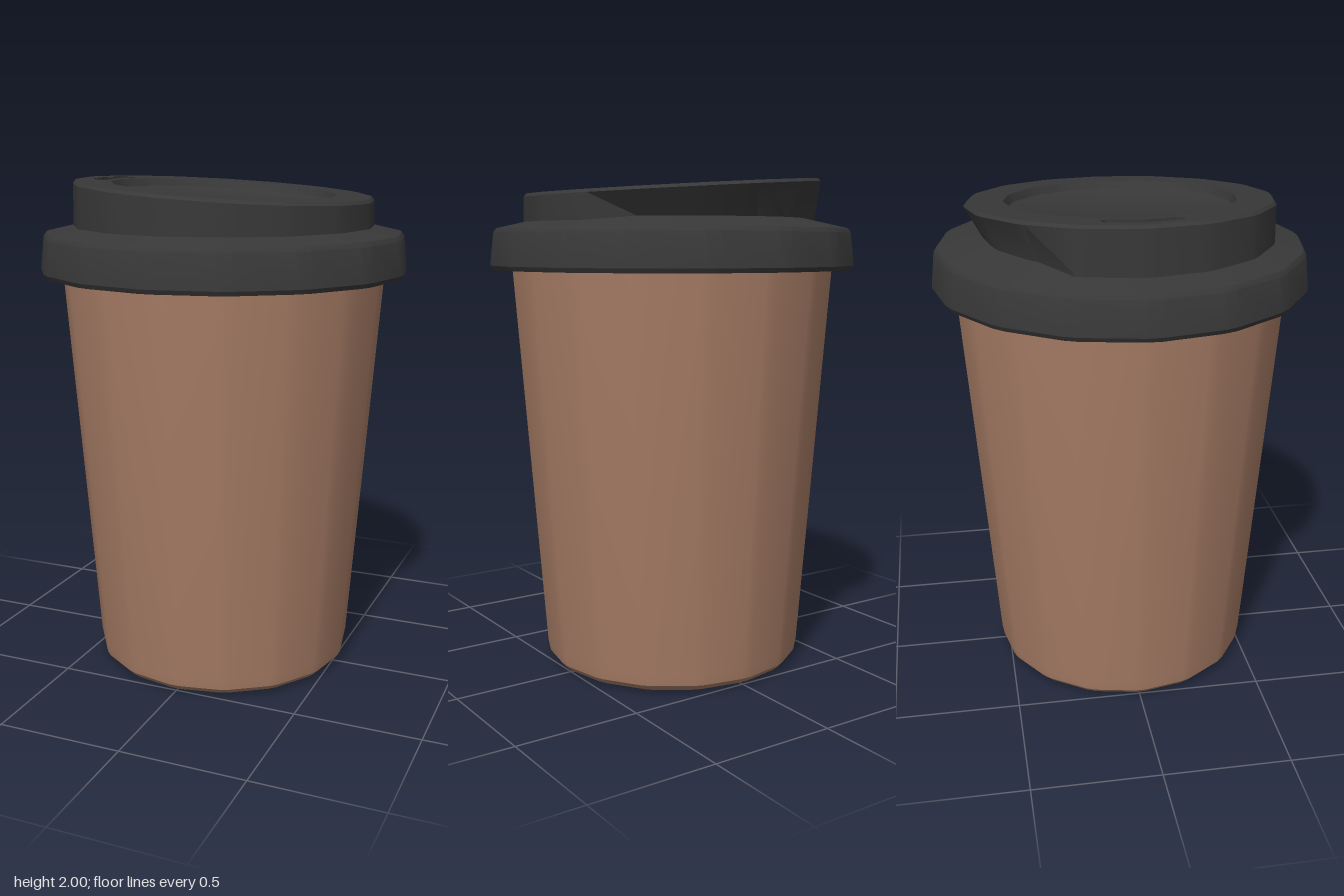
import * as THREE from 'three';
import { toCreasedNormals } from 'three/addons/utils/BufferGeometryUtils.js';

const SIDES = 16;
const CHAMFER = THREE.MathUtils.degToRad(2.2);
const SLOPE = 0.062; // the lid top falls towards +x
const TOP = 1.962;

// Angle of corner point i on a 16-gon whose corners are slightly chamfered
const cornerAngle = (i) =>
  (Math.floor((i + 1) / 2) * 2 * Math.PI) / SIDES + (i % 2 ? -CHAMFER : CHAMFER);

// Revolve [radius, y] points as a chamfered 16-gon; warp may adjust each point
function turned(profile, warp) {
  const n = profile.length;
  const geo = new THREE.LatheGeometry(profile.map(([r, y]) => new THREE.Vector2(r, y)), SIDES * 2);
  const pos = geo.attributes.position;
  for (let v = 0; v < pos.count; v++) {
    const i = Math.floor(v / n) % (SIDES * 2);
    const a = cornerAngle(i);
    const [r, y] = profile[v % n];
    const p = new THREE.Vector3(r * Math.sin(a), y, r * Math.cos(a));
    if (warp) warp(p);
    pos.setXYZ(v, p.x, p.y, p.z);
  }
  geo.deleteAttribute('normal');
  return toCreasedNormals(geo, 0.5);
}

function tilt(p) {
  p.y -= SLOPE * p.x;
}

// Lay a flat or extruded shape (x, -z) on the sloping lid top
function layOnTop(geo, y) {
  geo.rotateX(-Math.PI / 2);
  const pos = geo.attributes.position;
  for (let v = 0; v < pos.count; v++) pos.setY(v, pos.getY(v) + y - SLOPE * pos.getX(v));
  geo.computeVertexNormals();
  return geo;
}

function ringPoints(r) {
  return Array.from({ length: SIDES * 2 }, (_, i) => {
    const a = cornerAngle(i);
    return new THREE.Vector2(r * Math.sin(a), -r * Math.cos(a));
  });
}

// Bent slot outline, optionally grown about its middle
function slotPoints(grow = 0) {
  const half = [[-0.48, 0], [-0.455, 0.125], [-0.468, 0.147], [-0.51, 0.147], [-0.523, 0.135], [-0.547, 0]];
  const mirrored = half.slice(1, -1).reverse().map(([x, y]) => [x, -y]);
  return [...half, ...mirrored].map(([x, y]) =>
    new THREE.Vector2(x + Math.sign(x + 0.5) * grow, y + Math.sign(y) * grow));
}

export function createModel() {
  const model = new THREE.Group();
  const brown = new THREE.MeshStandardMaterial({ color: 0xa87d66 });
  const dark = new THREE.MeshStandardMaterial({ color: 0x383838 });
  const darkThin = new THREE.MeshStandardMaterial({ color: 0x383838, side: THREE.DoubleSide });
  const add = (parent, name, geo, mat) => {
    const mesh = new THREE.Mesh(geo, mat);
    mesh.name = name;
    parent.add(mesh);
  };

  // Tapered cup with a bevelled foot
  add(model, 'cup', turned([
    [0, 0], [0.478, 0], [0.505, 0.012], [0.526, 0.035], [0.533, 0.075], [0.662, 1.78], [0, 1.78],
  ]), brown);

  const lid = new THREE.Group();
  lid.name = 'lid';
  model.add(lid);

  // Wide collar gripping the cup
  add(lid, 'lidCollar', turned([
    [0.62, 1.63], [0.73, 1.628], [0.739, 1.645], [0.724, 1.775], [0.712, 1.792], [0.61, 1.815], [0.5, 1.84],
  ]), dark);

  // Raised wall with a sloping top edge, undercut at the back
  add(lid, 'lidWall', turned([[0.602, 1.8], [0.602, 1.828], [0.6, TOP - 0.012], [0.59, TOP]], (p) => {
    if (p.y > 1.9) tilt(p);
    else if (p.z < -0.35) {
      p.x *= 0.885;
      p.z *= 0.885;
    }
  }), darkThin);

  // Flat rim pierced by the drinking slot
  const rim = new THREE.Shape(ringPoints(0.59));
  rim.holes.push(new THREE.Path(ringPoints(0.45)), new THREE.Path(slotPoints()));
  add(lid, 'lidRim', layOnTop(new THREE.ShapeGeometry(rim), TOP), darkThin);

  // Slot walls
  const slot = new THREE.Shape(slotPoints(0.006));
  slot.holes.push(new THREE.Path(slotPoints()));
  const slotGeo = new THREE.ExtrudeGeometry(slot, { depth: 0.08, bevelEnabled: false });
  add(lid, 'drinkingSlot', layOnTop(slotGeo, TOP - 0.082), darkThin);

  // Shallow recess in the middle of the top
  add(lid, 'lidRecess', turned([
    [0.45, TOP], [0.435, TOP - 0.03], [0.422, TOP - 0.036], [0, TOP - 0.036],
  ], tilt), dark);

  return model;
}
